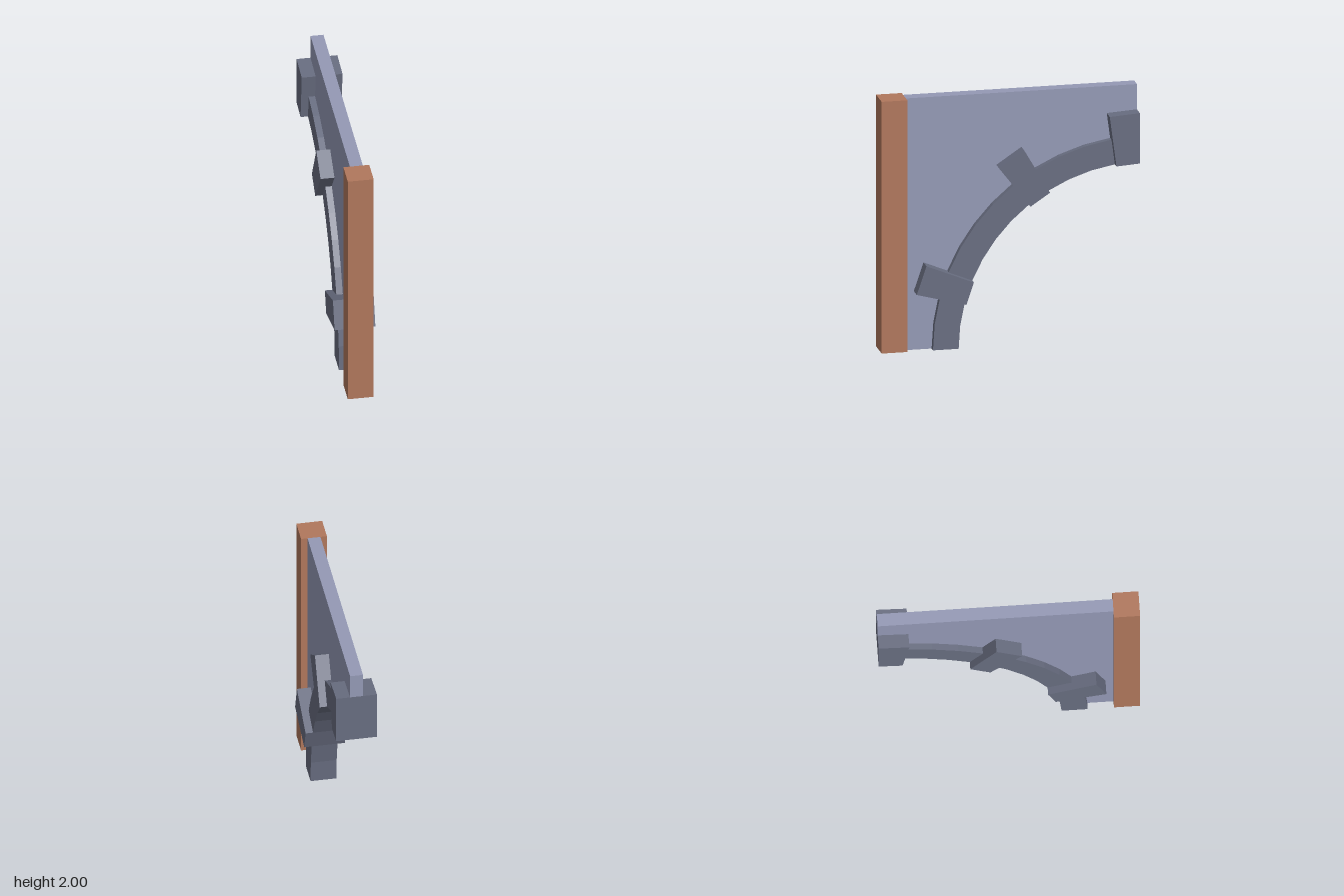
import * as THREE from 'three';

const SEGMENTS = 12;      // facets in the quarter arch
const INNER = 1.4;        // soffit radius
const OUTER = 1.6;        // back-of-arch radius
const KEY = 1.8;          // outer radius of the projecting blocks

// Point [z, y] on the arch, which is centred on z = -1, y = 0
function arcPoint(radius, step) {
  const a = (step / SEGMENTS) * Math.PI / 2;
  return new THREE.Vector2(-1 + radius * Math.cos(a), radius * Math.sin(a));
}

// Points along the arch from one step to another
function arc(radius, from, to) {
  const pts = [];
  for (let i = from; i <= to; i++) pts.push(arcPoint(radius, i));
  return pts;
}

// Extrude a [z, y] outline across x, centred on x = 0
function slab(name, outline, width, material) {
  const geometry = new THREE.ExtrudeGeometry(new THREE.Shape(outline), {
    depth: width, bevelEnabled: false,
  });
  geometry.translate(0, 0, -width / 2);
  geometry.rotateY(-Math.PI / 2);
  const mesh = new THREE.Mesh(geometry, material);
  mesh.name = name;
  return mesh;
}

export function createModel() {
  const brick = new THREE.MeshStandardMaterial({ color: 0xb0775c });
  brick.name = 'brick';
  const plaster = new THREE.MeshStandardMaterial({ color: 0x9499b5 });
  plaster.name = 'plaster';
  const stone = new THREE.MeshStandardMaterial({ color: 0x686d80 });
  stone.name = 'stone';

  const model = new THREE.Group();
  model.name = 'halfArch';

  // Upright post at the front
  const post = new THREE.Mesh(new THREE.BoxGeometry(0.2, 2, 0.2), brick);
  post.name = 'post';
  post.position.set(0, 1, 0.9);
  model.add(post);

  // Thin wall between post and arch; its back end stops on top of the crown block
  model.add(slab('wallPanel', [
    ...arc(OUTER, 0, SEGMENTS - 1),
    arcPoint(KEY, SEGMENTS),
    new THREE.Vector2(-1, 2),
    new THREE.Vector2(0.8, 2),
    new THREE.Vector2(0.8, 0),
  ], 0.1, plaster));

  // Curved arch rib, ending inside the crown block
  model.add(slab('archRib', [
    ...arc(OUTER, 0, SEGMENTS - 1),
    ...arc(INNER, 0, SEGMENTS - 1).reverse(),
  ], 0.2, stone));

  // Projecting wedge blocks, the last one at the crown
  [['lowerBlock', 2], ['middleBlock', 7], ['crownBlock', 11]].forEach(([name, i]) => {
    model.add(slab(name, [
      arcPoint(INNER, i), arcPoint(KEY, i), arcPoint(KEY, i + 1), arcPoint(INNER, i + 1),
    ], 0.315, stone));
  });

  return model;
}
